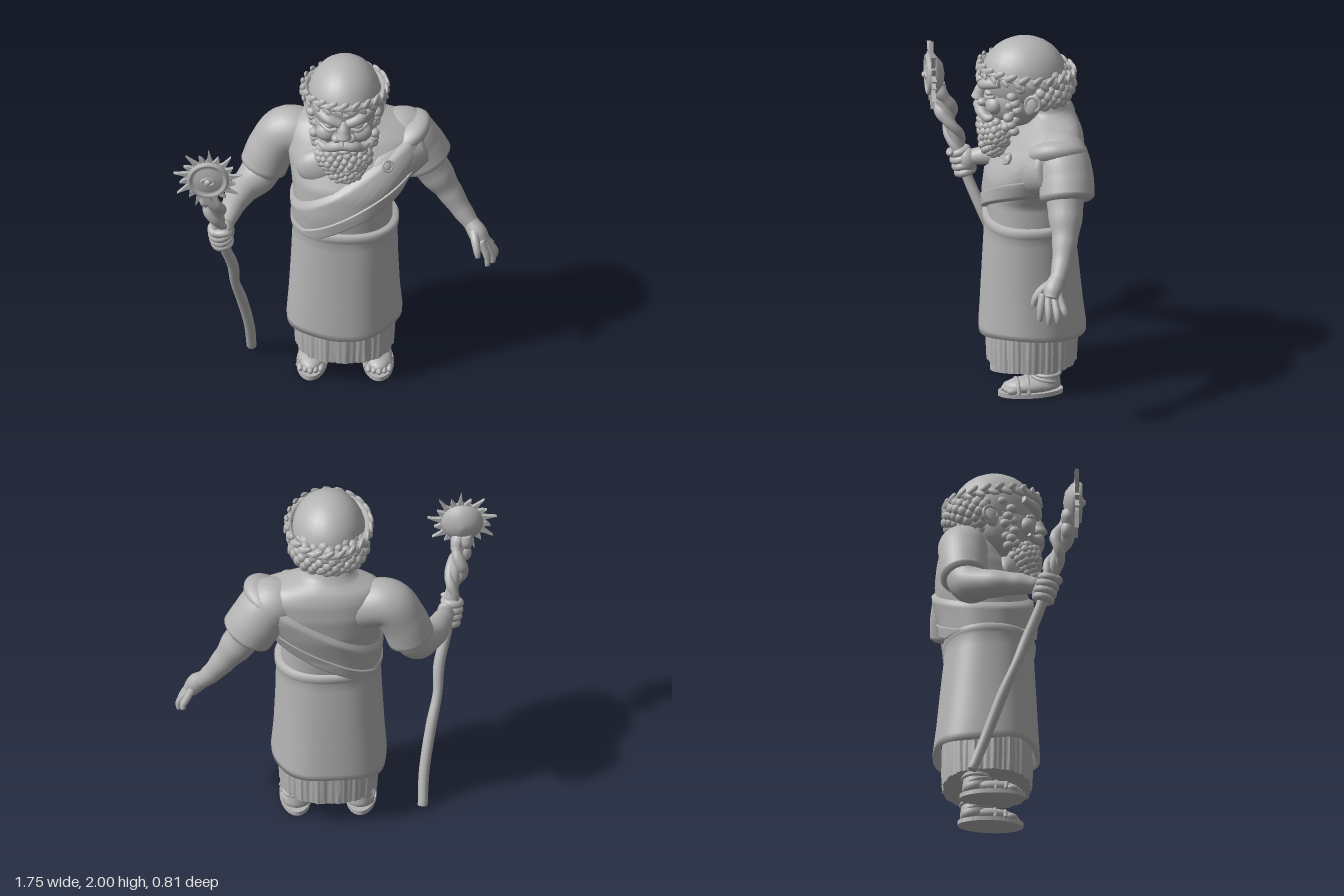
import * as THREE from 'three';
import { toCreasedNormals } from 'three/addons/utils/BufferGeometryUtils.js';

const stone = new THREE.MeshStandardMaterial({ color: 0xb4b4b4 });
stone.name = 'stone grey';
const V = (x, y, z) => new THREE.Vector3(x, y, z);
const lerp = THREE.MathUtils.lerp;
const TAU = Math.PI * 2;
const ball = new THREE.SphereGeometry(1, 24, 16);
const bead = new THREE.SphereGeometry(1, 10, 8);

// Closed skin: nv rows of nu points, f(angle, row) gives each point
function skin(nu, nv, f) {
  const pos = [], idx = [];
  for (let j = 0; j < nv; j++) for (let i = 0; i < nu; i++) pos.push(...f((i / nu) * TAU, j).toArray());
  for (let j = 0; j < nv - 1; j++) for (let i = 0; i < nu; i++) {
    const k = (i + 1) % nu, a = j * nu + i, b = a + nu, c = j * nu + k, d = c + nu;
    idx.push(a, b, c, c, b, d);
  }
  const g = new THREE.BufferGeometry();
  g.setAttribute('position', new THREE.Float32BufferAttribute(pos, 3));
  g.setIndex(idx);
  g.computeVertexNormals();
  return g;
}

// Tube through [x, y, z, radius] points, closed at both ends
function limbGeometry(pts, n = 20, steps = 24) {
  const curve = new THREE.CatmullRomCurve3(pts.map(p => V(p[0], p[1], p[2])));
  const fr = curve.computeFrenetFrames(steps);
  const radius = t => {
    const s = Math.min(t * (pts.length - 1), pts.length - 1.0001), i = Math.floor(s);
    return lerp(pts[i][3], pts[i + 1][3], THREE.MathUtils.smoothstep(s - i, 0, 1));
  };
  return skin(n, steps + 5, (a, j) => {
    const k = THREE.MathUtils.clamp(j - 2, 0, steps), u = k / steps;
    const t = curve.getUtoTmapping(u);
    const end = j === 0 || j === steps + 4 ? 0 : j === 1 || j === steps + 3 ? 0.85 : 1;
    const push = (j < 2 ? -1 : j > steps + 2 ? 1 : 0) * (end ? 0.12 : 0.2), r = radius(t);
    return curve.getPoint(t).addScaledVector(fr.tangents[k], push * r)
      .addScaledVector(fr.normals[k], Math.cos(a) * r * end)
      .addScaledVector(fr.binormals[k], -Math.sin(a) * r * end);
  });
}

// Horizontal body sections: y, centre x, half width, centre z, half depth
const torsoRows = [
  [0.95, 0.05, 0.26, -0.095, 0.225], [1.1, 0.04, 0.265, -0.1, 0.24], [1.25, 0.07, 0.31, -0.125, 0.25],
  [1.38, 0.1, 0.36, -0.17, 0.215], [1.48, 0.11, 0.36, -0.2, 0.175], [1.54, 0.08, 0.29, -0.215, 0.135],
  [1.58, 0.05, 0.14, -0.2, 0.11], [1.7, 0.05, 0.11, -0.15, 0.1]];
const power = (v, e) => Math.sign(v) * Math.abs(v) ** e;
const onRow = (r, a, grow = 0) => V(r[1] + (r[2] + grow) * power(Math.cos(a), 0.88), r[0], r[3] + (r[4] + grow) * power(Math.sin(a), 0.88));
function torsoAt(y) {
  let i = 0;
  while (i < torsoRows.length - 2 && torsoRows[i + 1][0] < y) i++;
  const p = torsoRows[i], q = torsoRows[i + 1], t = THREE.MathUtils.clamp((y - p[0]) / (q[0] - p[0]), 0, 1);
  return p.map((v, k) => lerp(v, q[k], t));
}

export function createModel() {
  const model = new THREE.Group();
  model.name = 'robedElder';
  const group = name => { const g = new THREE.Group(); g.name = name; model.add(g); return g; };
  const add = (parent, name, geo, x = 0, y = 0, z = 0) => {
    const m = new THREE.Mesh(geo, stone);
    m.name = name; m.position.set(x, y, z); parent.add(m);
    return m;
  };
  const blob = (parent, name, x, y, z, sx, sy = sx, sz = sx, geo = ball) => {
    const m = add(parent, name, geo, x, y, z);
    m.scale.set(sx, sy, sz);
    return m;
  };
  const limb = (parent, name, pts, n, s) => add(parent, name, limbGeometry(pts, n, s));

  // Torso and clothing
  const body = group('body');
  add(body, 'torso', skin(48, 36, (a, j) => onRow(torsoAt(lerp(0.95, 1.7, j / 35)), a)));
  blob(body, 'chestMuscle', -0.08, 1.34, -0.01, 0.13, 0.11, 0.075);
  const tunicRows = [[0.4, 0.045, 0.27, -0.11, 0.24], [0.33, 0.045, 0.285, -0.11, 0.265], [0.325, 0.045, 0.31, -0.11, 0.288],
    [0.36, 0.045, 0.312, -0.11, 0.288], [0.5, 0.045, 0.3, -0.105, 0.275], [0.7, 0.047, 0.29, -0.1, 0.26], [0.88, 0.05, 0.284, -0.095, 0.245],
    [0.935, 0.05, 0.282, -0.093, 0.24], [0.95, 0.05, 0.292, -0.093, 0.25], [0.975, 0.05, 0.294, -0.093, 0.252],
    [0.995, 0.05, 0.284, -0.093, 0.243], [0.995, 0.05, 0.25, -0.093, 0.2]];
  add(body, 'tunic', skin(72, tunicRows.length, (a, j) => {
    const low = Math.max(0, 1 - j / 7);
    const p = onRow(tunicRows[j], a, 0.008 * low * Math.sin(5 * a + 1));
    p.y += low * (0.015 * Math.sin(3 * a + 0.5) + 0.06 * (p.x - 0.045)) - (j > 6 ? 0.03 * p.x : 0);
    return p;
  }));
  const pleats = [[0.14, 0.05, 0, -0.105, 0], [0.14, 0.05, 0.262, -0.105, 0.238], [0.25, 0.05, 0.268, -0.105, 0.243], [0.4, 0.05, 0.265, -0.105, 0.24]];
  add(body, 'pleatedUnderskirt', toCreasedNormals(skin(216, 4, (a, j) =>
    onRow(pleats[j], a, j ? 0.003 * Math.sin(54 * a) + 0.004 * Math.sin(17 * a) : 0)), 0.9));

  // Diagonal sash: follows the torso section at a height that climbs with x
  const sash = (name, low, high, slopeLow, slopeHigh, thick) => add(body, name, skin(72, 11, (a, j) => {
    const t = j / 10, puff = thick * Math.min(1, 4 * Math.sin(Math.PI * t)) - 0.012;
    let p = V(0.1, 0, 0), y = 1.2;
    for (let k = 0; k < 16; k++) {
      y = (y + Math.max(0.97, lerp(low + slopeLow * p.x, high + slopeHigh * p.x, t))) / 2;
      p = onRow(torsoAt(Math.min(y, 1.52)), a, puff);
    }
    p.y = y;
    return p;
  }));
  sash('sash', 1.0, 1.265, 0.5, 0.585, 0.034);
  sash('sashBorder', 1.0, 1.09, 0.5, 0.54, 0.041);
  limb(body, 'drapedChest', [[0.12, 1.27, -0.06, 0.12], [0.25, 1.305, -0.08, 0.145], [0.34, 1.35, -0.15, 0.15], [0.42, 1.38, -0.2, 0.14]], 28);
  const brooch = group('brooch');
  brooch.position.set(0.28, 1.39, 0.05);
  brooch.rotation.set(-0.5, 0.4, 0);
  blob(brooch, 'broochDisc', 0, 0, 0, 0.032, 0.032, 0.02);
  add(brooch, 'broochRim', new THREE.TorusGeometry(0.028, 0.008, 8, 20), 0, 0, 0.01);

  // Model's left arm, hanging, with draped sleeve
  const left = group('leftArm');
  limb(left, 'drapedSleeve', [[0.24, 1.39, -0.22, 0.13], [0.37, 1.41, -0.235, 0.148], [0.44, 1.32, -0.25, 0.15], [0.49, 1.235, -0.25, 0.148]], 28);
  blob(left, 'shoulderDrape', 0.375, 1.44, -0.21, 0.155, 0.075, 0.165).rotation.z = 0.55;
  add(left, 'forearm', limbGeometry([[0.46, 1.28, -0.24, 0.11], [0.54, 1.15, -0.235, 0.094], [0.61, 1.04, -0.225, 0.07],
    [0.68, 0.93, -0.2, 0.055], [0.74, 0.85, -0.17, 0.044]]));
  limb(left, 'palm', [[0.72, 0.88, -0.18, 0.042], [0.765, 0.82, -0.145, 0.052], [0.79, 0.775, -0.13, 0.046]]);
  for (let i = 0; i < 4; i++) {
    const z = -0.19 + i * 0.04, drop = [0.04, 0.01, 0, 0.01][i], tip = [0.84, 0.862, 0.85, 0.822][i];
    limb(left, 'finger', [[0.785, 0.8, z * 0.7 - 0.035, 0.022], [lerp(0.8, tip, 0.6), 0.735, z, 0.02],
      [tip, 0.69 + drop / 2, z * 1.1 + 0.01, 0.018], [tip - 0.002, 0.65 + drop, z * 1.2 + 0.02, 0.014]], 10, 10);
  }
  limb(left, 'thumb', [[0.745, 0.84, -0.13, 0.026], [0.755, 0.81, -0.08, 0.024], [0.765, 0.765, -0.045, 0.02], [0.77, 0.73, -0.035, 0.014]], 10, 10);

  // Model's right arm, bent towards the staff
  const right = group('rightArm');
  limb(right, 'sleeve', [[-0.1, 1.39, -0.23, 0.13], [-0.265, 1.415, -0.245, 0.135], [-0.345, 1.31, -0.245, 0.13], [-0.39, 1.19, -0.24, 0.13]], 28);
  limb(right, 'forearm', [[-0.37, 1.23, -0.235, 0.112], [-0.42, 1.14, -0.215, 0.105], [-0.51, 1.1, -0.1, 0.078],
    [-0.56, 1.08, 0.03, 0.06], [-0.59, 1.055, 0.14, 0.045]]);
  blob(right, 'palm', -0.59, 1.035, 0.17, 0.05, 0.072, 0.055);

  // Staff, with twisted upper stems and gripping fingers
  const staff = group('staff');
  limb(staff, 'shaft', [[-0.455, 0.02, -0.2, 0.027], [-0.465, 0.2, -0.13, 0.029], [-0.505, 0.44, -0.04, 0.03], [-0.54, 0.6, 0.03, 0.026],
    [-0.55, 0.75, 0.09, 0.031], [-0.595, 0.93, 0.165, 0.029], [-0.615, 1.05, 0.2, 0.032], [-0.63, 1.2, 0.245, 0.034], [-0.665, 1.36, 0.305, 0.034], [-0.685, 1.48, 0.33, 0.03]], 14, 60);
  for (let s = 0; s < 2; s++) {
    const pts = [];
    for (let i = 0; i <= 10; i++) {
      const t = i / 10, a = s * Math.PI + t * 7, r = 0.018 + 0.02 * Math.sin(t * Math.PI);
      pts.push([lerp(-0.615, -0.685, t) + r * Math.cos(a), lerp(1.07, 1.45, t), lerp(0.205, 0.32, t) + r * Math.sin(a), 0.022 + 0.014 * t * (1 + Math.sin(i * 2.2 + s) * 0.4)]);
    }
    limb(staff, 'twistedStem', pts, 12, 40);
  }
  blob(staff, 'knot', -0.695, 1.34, 0.305, 0.035, 0.05, 0.035);
  const fist = group('fist');
  fist.position.set(-0.615, 1.03, 0.195);
  fist.quaternion.setFromUnitVectors(V(0, 0, 1), V(-0.16, 1, 0.28).normalize());
  for (let i = 0; i < 4; i++) add(fist, 'curledFinger', new THREE.TorusGeometry(0.046 - Math.abs(i - 1.5) * 0.003, 0.023, 10, 24), 0, 0, -0.062 + i * 0.038);
  blob(fist, 'thumb', 0.02, -0.045, 0.065, 0.05, 0.025, 0.022);

  // Sun ornament
  const sun = group('sunOrnament');
  sun.position.set(-0.68, 1.51, 0.355);
  const star = new THREE.Shape(), rays = 18;
  for (let i = 0; i < rays; i++) {
    const a = (i / rays) * TAU + 0.1, tip = i % 2 ? 0.155 : 0.19, p = (r, d) => [r * Math.cos(a + d), r * Math.sin(a + d)];
    if (i) star.lineTo(...p(0.11, -0.17)); else star.moveTo(...p(0.11, -0.17));
    star.lineTo(...p(0.135, -0.06));
    star.lineTo(...p(tip, 0.06));
    star.lineTo(...p(0.135, 0.09));
  }
  add(sun, 'rays', new THREE.ExtrudeGeometry(star, { depth: 0.022, bevelEnabled: false }), 0, 0, -0.011);
  const face = [[0, 0.034], [0.05, 0.03], [0.075, 0.02], [0.088, 0.02], [0.095, 0.03], [0.106, 0.03], [0.114, 0.018], [0.114, -0.012], [0.1, -0.03], [0.06, -0.062], [0, -0.072]];
  add(sun, 'disc', new THREE.LatheGeometry(face.reverse().map(p => new THREE.Vector2(...p)), 40)).rotation.x = Math.PI / 2;
  add(sun, 'eyelid', new THREE.TorusGeometry(0.035, 0.008, 8, 24), 0, 0, 0.03).scale.y = 0.6;
  blob(sun, 'pupil', 0, 0, 0.035, 0.018);

  // Head and face
  const head = group('head');
  head.position.x = 0.05;
  blob(head, 'skull', 0, 1.785, -0.065, 0.198, 0.215, 0.232);
  blob(head, 'jaw', 0, 1.67, -0.02, 0.175, 0.17, 0.175);
  limb(head, 'nose', [[0, 1.75, 0.15, 0.026], [0, 1.7, 0.172, 0.034], [0, 1.662, 0.18, 0.043]], 14, 10);
  limb(head, 'frownCrease', [[-0.07, 1.815, 0.14, 0.012], [0, 1.795, 0.162, 0.014], [0.07, 1.815, 0.14, 0.012]], 8, 12);
  blob(head, 'lowerLip', 0, 1.568, 0.16, 0.04, 0.018, 0.03);
  for (const s of [-1, 1]) {
    limb(head, 'eyebrow', [[s * 0.02, 1.745, 0.165, 0.026], [s * 0.08, 1.77, 0.155, 0.03], [s * 0.15, 1.795, 0.085, 0.024]], 12, 12);
    blob(head, 'eye', s * 0.075, 1.72, 0.128, 0.03, 0.02, 0.03);
    limb(head, 'eyeBag', [[s * 0.04, 1.7, 0.148, 0.01], [s * 0.08, 1.692, 0.145, 0.014], [s * 0.125, 1.71, 0.11, 0.01]], 8, 10);
    blob(head, 'cheek', s * 0.09, 1.655, 0.105, 0.062, 0.055, 0.05);
    blob(head, 'nostril', s * 0.04, 1.652, 0.165, 0.027, 0.023, 0.03);
    limb(head, 'moustache', [[0, 1.612, 0.18, 0.026], [s * 0.05, 1.605, 0.175, 0.03], [s * 0.1, 1.58, 0.145, 0.024], [s * 0.135, 1.595, 0.12, 0.012]], 12, 14);
    const ear = blob(head, 'ear', s * 0.185, 1.68, -0.09, 0.025, 0.065, 0.042);
    ear.rotation.set(-0.25, s * -0.4, 0);
    add(head, 'earRim', new THREE.TorusGeometry(0.04, 0.011, 8, 20), s * 0.198, 1.69, -0.092).rotation.y = Math.PI / 2 - s * 0.4;
    for (let i = 0; i < 13; i++) blob(head, 'sideburnCurl', s * (0.178 - (i % 2) * 0.02 - i * 0.002), 1.77 - i * 0.021, -0.03 + (i % 3) * 0.022 + i * 0.003, 0.03, 0.026, 0.03, bead);
  }

  // Curls laid in a spiral over an ellipsoid
  const curls = (name, c, r, count, size, keep) => {
    blob(head, name + 'Mass', ...c, ...r);
    for (let i = 0; i < count; i++) {
      const y = 1 - (2 * i + 1) / count, a = i * 2.39996, h = Math.sqrt(1 - y * y);
      const d = V(h * Math.cos(a), y, h * Math.sin(a));
      const k = size * (0.85 + 0.3 * Math.abs(Math.sin(i * 7.3)));
      if (keep(d)) blob(head, name + 'Curl', c[0] + d.x * r[0], c[1] + d.y * r[1], c[2] + d.z * r[2], k, k, k, bead);
    }
  };
  curls('beard', [0, 1.49, 0.085], [0.138, 0.1, 0.09], 120, 0.023, d => d.y < 0.7 && d.z > -0.6);
  curls('beardTip', [0.005, 1.415, 0.1], [0.092, 0.077, 0.07], 80, 0.02, d => d.y < 0.4);
  curls('hair', [0, 1.735, -0.165], [0.195, 0.115, 0.158], 170, 0.029, d => d.z < 0.35);

  // Leaf wreath, slightly higher at the front
  const wreath = group('wreath');
  wreath.position.set(0.05, 1.82, -0.078);
  wreath.rotation.x = -0.12;
  const ring = add(wreath, 'wreathBand', new THREE.TorusGeometry(0.215, 0.019, 8, 60));
  ring.rotation.x = Math.PI / 2;
  ring.scale.y = 1.17;
  for (let i = 0; i < 44; i++) {
    const a = (i / 44) * TAU, s = i % 2 ? 1 : -1;
    const leaf = blob(wreath, 'leaf', 0.23 * Math.cos(a), s * 0.016, 0.26 * Math.sin(a), 0.036, 0.018, 0.012, bead);
    leaf.rotation.set(0, Math.PI / 2 - a + s * 0.25, s * 0.6, 'YXZ');
  }

  // Ankles and sandalled feet
  for (const [name, x, turn] of [['rightFoot', -0.125, -0.06], ['leftFoot', 0.23, 0.06]]) {
    const foot = group(name);
    foot.position.set(x, 0, -0.08);
    foot.rotation.y = turn;
    const sole = new THREE.Shape().absellipse(0, 0, 0.084, 0.178, 0, TAU);
    add(foot, 'sole', new THREE.ExtrudeGeometry(sole, { depth: 0.025, bevelEnabled: false, curveSegments: 24 }), 0, 0.025, 0).rotation.x = Math.PI / 2;
    limb(foot, 'ankle', [[0, 0.2, -0.09, 0.072], [0, 0.12, -0.09, 0.068], [0, 0.045, -0.09, 0.076]], 20, 8);
    blob(foot, 'instep', 0, 0.05, -0.005, 0.077, 0.048, 0.15);
    for (let i = 0; i < 5; i++) blob(foot, 'toe', -0.056 + i * 0.028, 0.038, 0.13 - Math.abs(i - 2) * 0.012, 0.018, 0.02, 0.034, bead);
    for (const [y, z, tilt] of [[0.118, -0.09, 1.57], [0.09, -0.08, 1.35]])
      add(foot, 'ankleStrap', new THREE.TorusGeometry(0.071, 0.01, 8, 32), 0, y, z).rotation.x = tilt;
    for (const [z, h] of [[0.02, 0.095], [0.075, 0.085]])
      limb(foot, 'footStrap', [[-0.076, 0.025, z, 0.01], [-0.05, h * 0.82, z, 0.012], [0, h, z, 0.012], [0.05, h * 0.82, z, 0.012], [0.076, 0.025, z, 0.01]], 8, 16);
  }
  return model;
}
